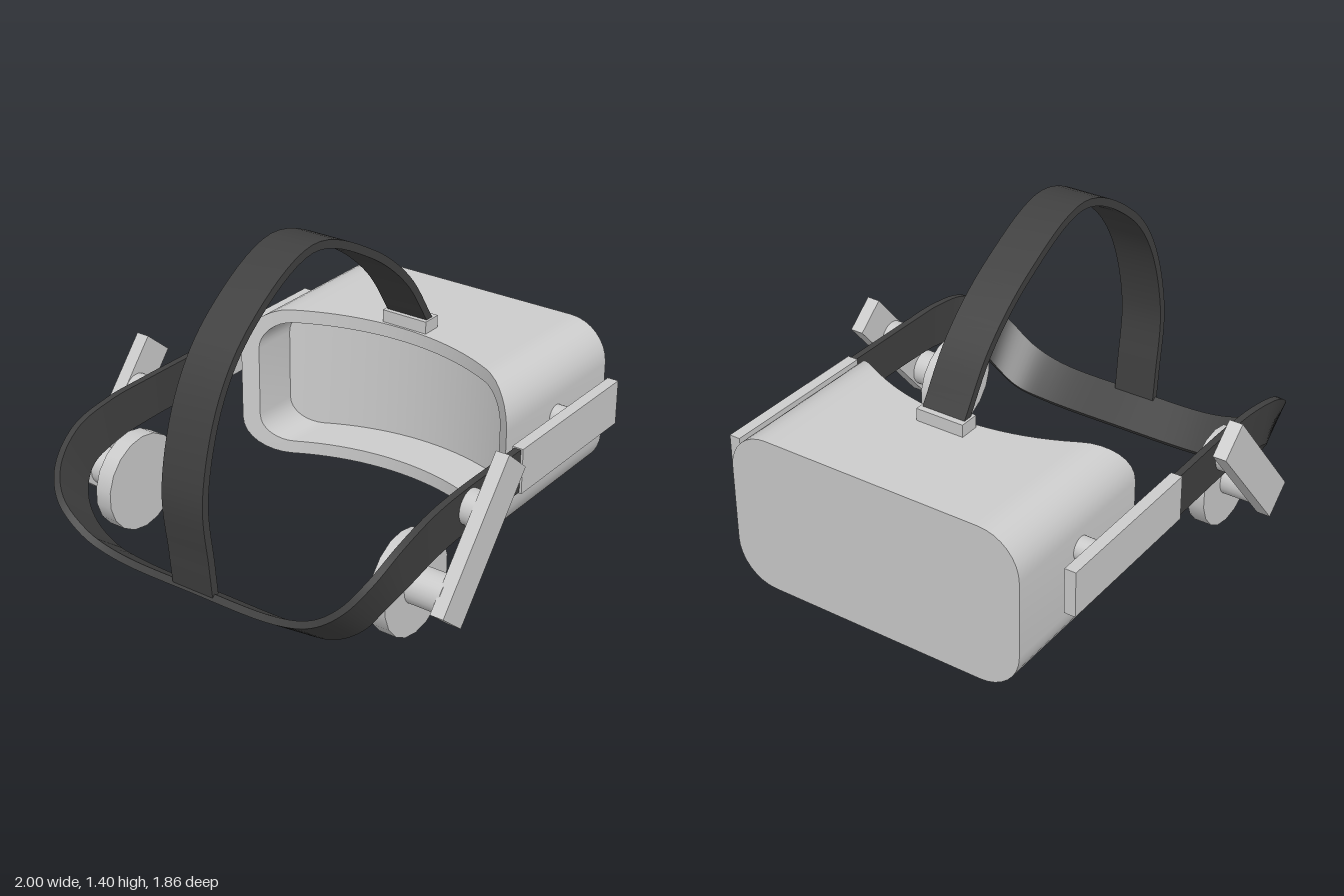
import * as THREE from 'three';
import { toCreasedNormals } from 'three/addons/utils/BufferGeometryUtils.js';

const grey = new THREE.MeshStandardMaterial({ color: 0xcccccc });
const dark = new THREE.MeshStandardMaterial({ color: 0x404040 });
const V = (x, y, z) => new THREE.Vector3(x, y, z);

// Skin between successive closed rings with equal point counts
function loft(rings) {
  const n = rings[0].length, index = [];
  for (let i = 0; i < rings.length - 1; i++) {
    for (let j = 0; j < n; j++) {
      const a = i * n + j, b = i * n + (j + 1) % n;
      index.push(a, b, b + n, a, b + n, a + n);
    }
  }
  const g = new THREE.BufferGeometry().setFromPoints(rings.flat());
  g.setIndex(index);
  return toCreasedNormals(g, 0.6);
}

// Flat band of given thickness running between two edge curves
function ribbon(edgeA, edgeB, thickness, steps) {
  const a = new THREE.CatmullRomCurve3(edgeA), b = new THREE.CatmullRomCurve3(edgeB);
  const mid = t => a.getPoint(t).lerp(b.getPoint(t), 0.5);
  const rings = [];
  for (let i = 0; i <= steps; i++) {
    const t = i / steps, pa = a.getPoint(t), pb = b.getPoint(t);
    const tangent = mid(Math.min(1, t + 0.004)).sub(mid(Math.max(0, t - 0.004)));
    const n = tangent.cross(pa.clone().sub(pb)).setLength(thickness / 2);
    rings.push([pa.clone().add(n), pb.clone().add(n), pb.clone().sub(n), pa.clone().sub(n)]);
  }
  const cap = t => Array.from({ length: 4 }, () => mid(t));
  return loft([cap(0), ...rings, cap(1)]);
}

// Rounded rectangle outline as [z, y] pairs, with the long edges subdivided
function outline(w, h, r) {
  const pts = [];
  const corners = [[1, 1], [-1, 1], [-1, -1], [1, -1]];
  corners.forEach(([sz, sy], k) => {
    for (let i = 0; i <= 8; i++) {
      const t = (k + i / 8) * Math.PI / 2;
      pts.push([sz * (w - r) + r * Math.cos(t), sy * (h - r) + r * Math.sin(t)]);
    }
    if (k % 2 === 0) {
      for (let i = 1; i < 20; i++) pts.push([sz * (w - r) * (1 - i / 10), sy * h]);
    }
  });
  return pts;
}

function visorGeometry() {
  const midY = 0.395, R = 1.05;
  const arc = z => 0.45 - R + Math.sqrt(R * R - z * z); // concave face side
  const outer = outline(0.68, 0.35, 0.18), inner = outline(0.62, 0.29, 0.13);
  const ring = (pts, xOf, flat = 1) => pts.map(([z, y]) => V(xOf(z), midY + y * flat, z));
  const front = () => 1, floor = z => arc(z) + 0.22;
  return loft([
    ring(outer, front, 0), ring(outer, front), ring(outer, arc),
    ring(inner, arc), ring(inner, floor), ring(inner, floor, 0),
  ]);
}

export function createModel() {
  const model = new THREE.Group();
  const add = (name, geometry, material, x = 0, y = 0, z = 0, parent = model) => {
    const mesh = new THREE.Mesh(geometry, material);
    mesh.name = name;
    mesh.position.set(x, y, z);
    parent.add(mesh);
    return mesh;
  };
  // Cylinder lying along z between two depths
  const pin = (name, r, x, y, z0, z1, sides, parent) =>
    add(name, new THREE.CylinderGeometry(r, r, z1 - z0, sides).rotateX(Math.PI / 2),
      grey, x, y, (z0 + z1) / 2, parent);

  add('visor', visorGeometry(), grey);
  add('topStrapClip', new THREE.BoxGeometry(0.09, 0.07, 0.22), grey, 0.505, 0.765, 0);

  // Head band: upper and lower edges of one half, mirrored around the back
  const upper = [
    [0.1, 0.575, 0.8], [-0.3, 0.575, 0.8], [-0.52, 0.565, 0.805], [-0.72, 0.52, 0.805],
    [-0.87, 0.42, 0.77], [-0.94, 0.32, 0.7], [-0.955, 0.22, 0.57], [-0.955, 0.17, 0.4],
  ];
  const lower = [
    [0.1, 0.385, 0.8], [-0.3, 0.385, 0.8], [-0.5, 0.37, 0.8], [-0.66, 0.325, 0.79],
    [-0.75, 0.25, 0.745], [-0.785, 0.16, 0.68], [-0.795, 0.08, 0.56], [-0.8, 0.055, 0.4],
  ];
  const mirrored = (half, back) => [
    ...half.map(([x, y, z]) => V(x, y, z)), V(...back),
    ...half.slice().reverse().map(([x, y, z]) => V(x, y, -z)),
  ];
  add('headBand', ribbon(mirrored(upper, [-0.955, 0.16, 0]),
    mirrored(lower, [-0.8, 0.05, 0]), 0.03, 112), dark);

  // Strap over the top of the head
  const path = [
    [0.515, 0.78], [0.34, 1.03], [0.07, 1.24], [-0.31, 1.383], [-0.68, 1.2],
    [-0.87, 0.97], [-0.98, 0.6], [-0.955, 0.3], [-0.94, 0.16],
  ];
  const edge = z => path.map(([x, y]) => V(x, y, z));
  add('topStrap', ribbon(edge(0.1), edge(-0.1), 0.035, 64), dark);

  // Side arm and earphone assembly for each side
  for (const side of [1, -1]) {
    const group = new THREE.Group();
    group.name = side > 0 ? 'rightSideAssembly' : 'leftSideAssembly';
    // A half turn about x flips z; mirrored heights keep both sides alike
    const z = (a, b) => side > 0 ? [a, b] : [-b, -a];
    add('sideArm', new THREE.BoxGeometry(0.76, 0.2, 0.05), grey, 0.47, 0.48, side * 0.8, group);
    pin('sideArmPivot', 0.05, 0.59, 0.48, ...z(0.66, 0.78), 24, group);
    add('earphoneArm', new THREE.BoxGeometry(0.667, 0.163, 0.06), grey,
      -0.342, 0.403, side * 0.9, group).rotation.z = 0.87;
    pin('earphoneArmPivot', 0.075, -0.275, 0.49, ...z(0.8, 0.88), 24, group);
    pin('earphoneStem', 0.08, -0.5, 0.225, ...z(0.72, 0.88), 24, group);
    pin('earphonePad', 0.212, -0.495, 0.215, ...z(0.65, 0.727), 18, group);
    model.add(group);
  }
  return model;
}
